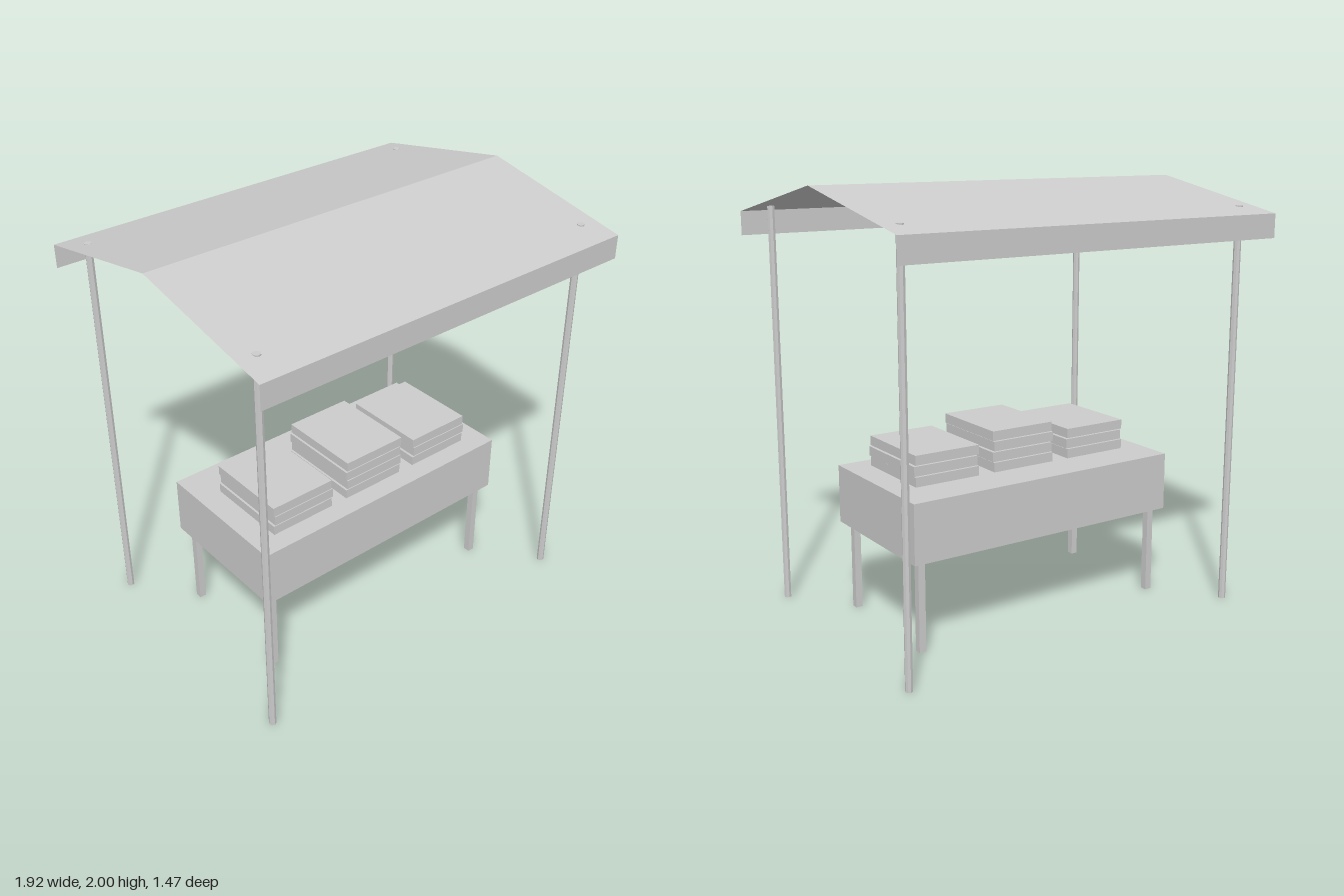
import * as THREE from 'three';

export function createModel() {
  const group = new THREE.Group();
  group.name = 'marketStall';
  const grey = new THREE.MeshStandardMaterial({ color: 0xcccccc, flatShading: true, side: THREE.DoubleSide });
  grey.name = 'plain grey';

  const add = (name, geometry, x = 0, y = 0, z = 0, parent = group) => {
    const mesh = new THREE.Mesh(geometry, grey);
    mesh.name = name;
    mesh.position.set(x, y, z);
    parent.add(mesh);
    return mesh;
  };

  // Thin sheet swept along x from a [z, y] profile
  const sheet = (profile, halfWidth) => {
    const geometry = new THREE.PlaneGeometry(1, 1, 1, profile.length - 1);
    const pos = geometry.attributes.position;
    profile.forEach(([z, y], i) => {
      pos.setXYZ(i * 2, -halfWidth, y, z);
      pos.setXYZ(i * 2 + 1, halfWidth, y, z);
    });
    const flat = geometry.toNonIndexed();
    flat.computeVertexNormals();
    return flat;
  };

  // Pitched awning with a hanging valance on the front and back
  add('awning', sheet([[-0.735, 1.745], [-0.735, 1.855], [0, 2], [0.735, 1.855], [0.735, 1.745]], 0.962));

  // Table cloth: top and front/back skirts in one sheet, plus end skirts
  const table = new THREE.Group();
  table.name = 'table';
  group.add(table);
  const w = 0.696, d = 0.352, top = 0.695, hem = 0.42;
  add('tableCloth', sheet([[-d, hem], [-d, top], [d, top], [d, hem]], w), 0, 0, 0, table);

  for (const sx of [-1, 1]) {
    const end = add('endSkirt', new THREE.PlaneGeometry(2 * d, top - hem), sx * w, (top + hem) / 2, 0, table);
    end.rotation.y = sx * Math.PI / 2;
    for (const sz of [-1, 1]) {
      // Awning poles just pierce the roof
      add('pole', new THREE.CylinderGeometry(0.017, 0.017, 1.886, 8), sx * 0.872, 0.943, sz * 0.597);
      add('tableLeg', new THREE.BoxGeometry(0.033, 0.69, 0.033), sx * 0.643, 0.345, sz * 0.3, table);
    }
  }

  // Stacks of flat boxes, alternately shifted sideways: [centre x, count]
  for (const [x, count] of [[-0.415, 3], [0, 4], [0.412, 3]]) {
    const stack = new THREE.Group();
    stack.name = 'boxStack';
    group.add(stack);
    for (let i = 0; i < count; i++) {
      const shift = i === 3 ? 0.006 : i % 2 ? 0.006 : -0.001;
      add('flatBox', new THREE.BoxGeometry(0.328, 0.045, 0.416), x + shift, 0.719 + i * 0.0495, 0.049, stack);
    }
  }
  return group;
}
